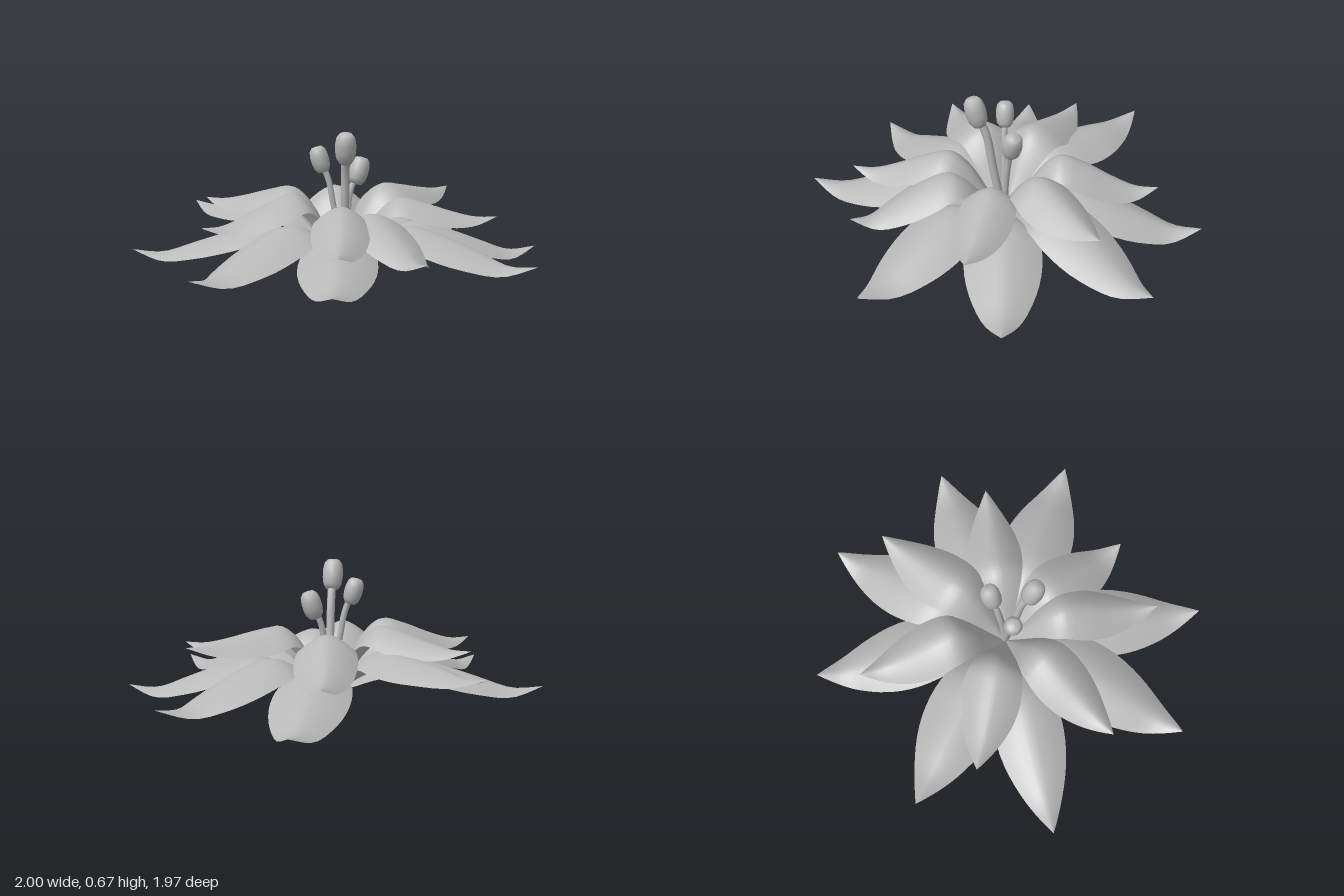
import * as THREE from 'three';

const CENTRE = new THREE.Vector3(0.02, 0, -0.02);

// Height along a petal: steep throat, arched shoulder, drooping blade, lifted tip
function ribCurve(peak, tip, dip) {
  const drop = peak - tip;
  return new THREE.CatmullRomCurve3([
    [0, 0.02], [0.12, 0.02 + peak * 0.38], [0.25, peak * 0.84], [0.36, peak],
    [0.52, peak - drop * 0.25], [0.7, peak - drop * 0.7], [0.86, tip - dip], [1, tip],
  ].map(([u, y]) => new THREE.Vector3(u, y, 0)));
}

// Lens-shaped blade, folded softly down on both sides of its rib
function petalGeometry([tipX, tipZ, tipY, peak, halfWidth], dip, fold) {
  const rows = 24, cols = 10;
  const rib = ribCurve(peak, tipY, dip);
  const dx = tipX - CENTRE.x, dz = tipZ - CENTRE.z;
  const len = Math.hypot(dx, dz);
  const positions = [], index = [];
  for (let i = 0; i <= rows; i++) {
    const p = rib.getPoint(i / rows);
    const u = Math.min(1, Math.max(0, p.x));
    const w = halfWidth * Math.pow(Math.sin(Math.PI * u), 0.95);
    for (let j = 0; j <= cols; j++) {
      const v = (j / cols) * 2 - 1;
      const side = v * w;
      const arch = fold * w * Math.pow(Math.abs(v), 1.6);
      positions.push(
        CENTRE.x + dx * u - (dz / len) * side,
        p.y - arch,
        CENTRE.z + dz * u + (dx / len) * side);
      if (i < rows && j < cols) {
        const a = i * (cols + 1) + j, b = a + cols + 1;
        index.push(a, a + 1, b, b, a + 1, b + 1);
      }
    }
  }
  const g = new THREE.BufferGeometry();
  g.setAttribute('position', new THREE.Float32BufferAttribute(positions, 3));
  g.setIndex(index);
  g.computeVertexNormals();
  return g;
}

export function createModel() {
  const flower = new THREE.Group();
  flower.name = 'flower';
  const petalGrey = new THREE.MeshStandardMaterial({ color: 0xb8b8b8, side: THREE.DoubleSide });
  petalGrey.name = 'petal grey';

  // Each petal: tip x, tip z, tip height, shoulder height, half width
  const outer = [
    [0.03, -0.99, 0.045, 0.2, 0.18], [0.655, -0.78, 0.09, 0.24, 0.18],
    [0.995, -0.165, 0.065, 0.21, 0.18], [0.88, 0.49, 0.1, 0.23, 0.18],
    [0.37, 0.665, 0.15, 0.3, 0.15], [-0.05, 0.98, 0.085, 0.2, 0.18],
    [-0.65, 0.73, 0.1, 0.25, 0.18], [-1.0, 0, 0.09, 0.21, 0.17],
    [-0.755, -0.61, 0.235, 0.28, 0.18],
  ];
  const inner = [
    [-0.065, -0.765, 0.2, 0.36, 0.145], [0.59, -0.53, 0.32, 0.38, 0.15],
    [0.765, 0.035, 0.25, 0.34, 0.135], [-0.02, 0.755, 0.2, 0.34, 0.135],
    [-0.63, 0.37, 0.26, 0.38, 0.14], [-0.67, -0.3, 0.3, 0.38, 0.145],
  ];
  const addRing = (name, list, dip, fold) => {
    const ring = new THREE.Group();
    ring.name = name + 's';
    for (const p of list) {
      const m = new THREE.Mesh(petalGeometry(p, dip, fold), petalGrey);
      m.name = name;
      ring.add(m);
    }
    flower.add(ring);
  };
  addRing('outerPetal', outer, 0.012, 0.42);
  addRing('innerPetal', inner, 0, 0.6);

  // Stamens: filament that bends outward near the top, with an oval anther at its end
  const stamens = [
    { path: [[0.03, 0.3, 0.035], [0.03, 0.47, 0.065], [0.03, 0.59, 0.115]], radius: 0.02, size: 0.05, length: 0.078 },
    { path: [[-0.025, 0.3, -0.012], [-0.05, 0.43, -0.008], [-0.09, 0.525, -0.005]], radius: 0.015, size: 0.044, length: 0.066 },
    { path: [[0.045, 0.26, -0.035], [0.06, 0.37, -0.05], [0.1, 0.462, -0.07]], radius: 0.015, size: 0.048, length: 0.07 },
  ];
  const up = new THREE.Vector3(0, 1, 0);
  for (const s of stamens) {
    const group = new THREE.Group();
    group.name = 'stamen';
    const points = [[0.03, 0.01, -0.02], ...s.path].map((p) => new THREE.Vector3(...p));
    const path = new THREE.CatmullRomCurve3(points);
    const filament = new THREE.Mesh(new THREE.TubeGeometry(path, 24, s.radius, 10), petalGrey);
    filament.name = 'filament';
    // Blunt oval profile
    const profile = [[0, -1], [0.6, -0.92], [0.9, -0.6], [1, -0.15], [1, 0.3], [0.88, 0.72], [0.58, 0.95], [0, 1]]
      .map(([r, y]) => new THREE.Vector2(r * s.size, y * s.length));
    const anther = new THREE.Mesh(new THREE.LatheGeometry(profile, 16), petalGrey);
    anther.name = 'anther';
    anther.position.copy(points[3]);
    const lean = points[3].clone().sub(points[1]).normalize();
    anther.quaternion.setFromUnitVectors(up, lean);
    group.add(filament, anther);
    flower.add(group);
  }

  // Short stub under the flower
  const stub = new THREE.Mesh(new THREE.CylinderGeometry(0.02, 0.018, 0.05, 12), petalGrey);
  stub.name = 'stemStub';
  stub.position.set(0.03, 0.025, -0.02);
  flower.add(stub);

  return flower;
}
